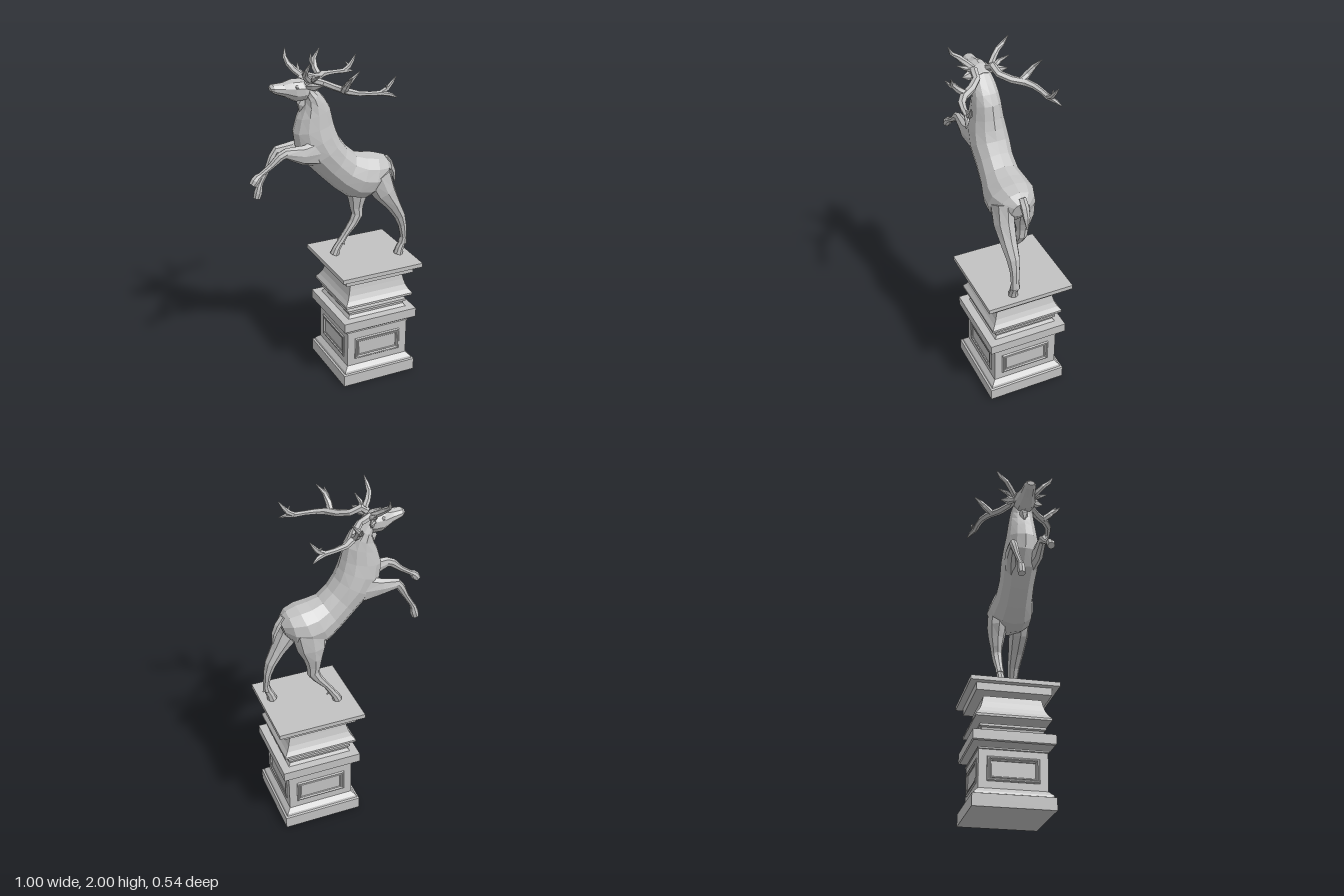
import * as THREE from 'three';

const stone = new THREE.MeshStandardMaterial({ color: 0xc2c2c2 });
stone.name = 'grey stone';
const V = (x, y, z) => new THREE.Vector3(x, y, z);

function add(parent, name, geometry) {
  const flat = geometry.index ? geometry.toNonIndexed() : geometry;
  flat.computeVertexNormals();
  const mesh = new THREE.Mesh(flat, stone);
  mesh.name = name;
  parent.add(mesh);
  return mesh;
}

// Skin over elliptical rings {c, u, w}, closed at both ends
function loft(rings, sides) {
  const pos = [], index = [];
  const put = (v) => pos.push(v.x, v.y, v.z);
  rings.forEach(({ c, u, w }) => {
    for (let k = 0; k < sides; k++) {
      const a = (k / sides) * Math.PI * 2;
      put(c.clone().addScaledVector(u, Math.cos(a)).addScaledVector(w, Math.sin(a)));
    }
  });
  const last = rings.length - 1, start = rings.length * sides;
  put(rings[0].c);
  put(rings[last].c);
  for (let k = 0; k < sides; k++) {
    const n = (k + 1) % sides;
    for (let i = 0; i < last; i++) {
      const a = i * sides + k, b = i * sides + n;
      index.push(a, b, a + sides, b, b + sides, a + sides);
    }
    index.push(start, n, k, start + 1, last * sides + k, last * sides + n);
  }
  const g = new THREE.BufferGeometry();
  g.setAttribute('position', new THREE.Float32BufferAttribute(pos, 3));
  g.setIndex(index);
  return g;
}

// Tapering limb through points [x, y, z, radius, optional sideways radius]
function limb(pts, sides = 7) {
  const at = (i) => V(...pts[Math.min(Math.max(i, 0), pts.length - 1)].slice(0, 3));
  return loft(pts.map((p, i) => {
    const t = at(i + 1).sub(at(i - 1)).normalize();
    const w = V(0, 0, 1).addScaledVector(t, -t.z).normalize();
    const u = w.clone().cross(t);
    return { c: at(i), u: u.multiplyScalar(p[3]), w: w.multiplyScalar(p[4] ?? p[3]) };
  }), sides);
}

// Trunk cross-sections [topX, topY, bottomX, bottomY, halfWidth]
function trunk(sections, sides = 12) {
  return loft(sections.map(([tx, ty, bx, by, half]) => ({
    c: V((tx + bx) / 2, (ty + by) / 2, 0),
    u: V((tx - bx) / 2, (ty - by) / 2, 0),
    w: V(0, 0, half),
  })), sides);
}

function buildPedestal() {
  const g = new THREE.Group();
  g.name = 'pedestal';
  g.position.set(0.238, 0, -0.015);
  // Closed square tiers, profile [half width, height] from bottom to top
  const tiers = {
    base: [[0, 0], [0.235, 0], [0.235, 0.072], [0.224, 0.076], [0.22, 0.088], [0.203, 0.105],
      [0.196, 0.112], [0.196, 0.33], [0.201, 0.333], [0.201, 0.342], [0, 0.342]],
    cornice: [[0, 0.368], [0.23, 0.368], [0.236, 0.374], [0.236, 0.43], [0.19, 0.432], [0.178, 0.45],
      [0.18, 0.462], [0.19, 0.468], [0.19, 0.482], [0, 0.482]],
    concaveMoulding: [[0, 0.517], [0.2175, 0.517], [0.2175, 0.53], [0.2, 0.553], [0.186, 0.58],
      [0.176, 0.615], [0.168, 0.652], [0, 0.652]],
    topSlab: [[0, 0.668], [0.2175, 0.668], [0.2175, 0.712], [0.257, 0.712], [0.257, 0.737], [0, 0.737]],
  };
  for (const [name, profile] of Object.entries(tiers)) {
    const pts = profile.map(([h, y]) => new THREE.Vector2(h * Math.SQRT2, y));
    add(g, name, new THREE.LatheGeometry(pts, 4, Math.PI / 4));
  }
  // Nested bevelled picture-frame borders on each face
  const rect = (shape, w, h) => shape.moveTo(-w, -h).lineTo(w, -h).lineTo(w, h).lineTo(-w, h).closePath();
  const frame = (w, h, t, bevel) => {
    const s = rect(new THREE.Shape(), w, h);
    s.holes.push(rect(new THREE.Path(), w - t, h - t));
    return new THREE.ExtrudeGeometry(s, { depth: 0.001, bevelThickness: bevel, bevelSize: bevel, bevelSegments: 1 })
      .translate(0, 0.222, 0.196);
  };
  for (let i = 0; i < 4; i++) {
    const side = new THREE.Group();
    side.name = 'panel';
    side.rotation.y = i * Math.PI / 2;
    add(side, 'outerFrame', frame(0.143, 0.064, 0.006, 0.006));
    add(side, 'innerFrame', frame(0.128, 0.049, 0.003, 0.003));
    g.add(side);
  }
  return g;
}

function buildAntler(s) {
  const g = new THREE.Group();
  g.name = s > 0 ? 'leftAntler' : 'rightAntler';
  const tines = {
    beam: [[-0.15, 1.85, 0.04, 0.022], [-0.12, 1.872, 0.055, 0.022], [-0.06, 1.85, 0.065, 0.018, 0.022],
      [-0.01, 1.832, 0.115, 0.018, 0.024], [0.035, 1.822, 0.178, 0.019, 0.024],
      [0.08, 1.815, 0.208, 0.014, 0.022], [0.14, 1.811, 0.222, 0.012, 0.018],
      [0.2, 1.808, 0.228, 0.014, 0.018], [0.245, 1.8, 0.25, 0.011], [0.275, 1.786, 0.266, 0.003]],
    browTine: [[-0.135, 1.87, 0.05, 0.019], [-0.165, 1.895, 0.08, 0.018],
      [-0.188, 1.925, 0.112, 0.016], [-0.193, 1.955, 0.15, 0.012], [-0.182, 1.998, 0.172, 0.003]],
    secondTine: [[-0.12, 1.868, 0.06, 0.015], [-0.135, 1.885, 0.1, 0.013], [-0.12, 1.915, 0.15, 0.003]],
    middleTine: [[0.015, 1.825, 0.16, 0.02], [0.008, 1.855, 0.2, 0.019],
      [0.018, 1.9, 0.235, 0.014], [0.06, 1.95, 0.255, 0.003]],
    middleSpur: [[0.008, 1.86, 0.2, 0.015], [0.002, 1.885, 0.238, 0.012], [0.01, 1.92, 0.268, 0.003]],
    endTine: [[0.19, 1.805, 0.225, 0.014], [0.235, 1.83, 0.23, 0.014],
      [0.26, 1.862, 0.235, 0.01], [0.28, 1.893, 0.24, 0.003]],
    endSpur: [[0.235, 1.83, 0.232, 0.01], [0.217, 1.856, 0.245, 0.003]],
  };
  for (const [name, pts] of Object.entries(tines)) {
    add(g, name, limb(pts.map(([x, y, z, r, rw]) => [x, y, z * s, r, rw]), 6));
  }
  return g;
}

function buildStag() {
  const g = new THREE.Group();
  g.name = 'stag';
  add(g, 'body', trunk([
    [-0.12, 1.848, -0.152, 1.762, 0.058], [-0.07, 1.797, -0.153, 1.74, 0.07],
    [-0.03, 1.755, -0.165, 1.7, 0.076], [0.003, 1.7, -0.19, 1.65, 0.083],
    [0.022, 1.622, -0.213, 1.57, 0.094], [0.038, 1.57, -0.2, 1.48, 0.106],
    [0.06, 1.515, -0.145, 1.39, 0.112], [0.1, 1.458, -0.05, 1.29, 0.106],
    [0.155, 1.41, 0.035, 1.205, 0.112], [0.22, 1.393, 0.115, 1.14, 0.132],
    [0.285, 1.383, 0.2, 1.125, 0.138], [0.345, 1.362, 0.3, 1.15, 0.11],
    [0.385, 1.315, 0.355, 1.215, 0.05]]));
  add(g, 'head', trunk([
    [-0.343, 1.847, -0.338, 1.822, 0.022], [-0.328, 1.86, -0.316, 1.804, 0.036],
    [-0.27, 1.862, -0.262, 1.782, 0.044], [-0.22, 1.876, -0.2, 1.748, 0.061],
    [-0.17, 1.874, -0.152, 1.75, 0.064], [-0.115, 1.845, -0.12, 1.765, 0.05]], 10));
  add(g, 'throatTuft', limb([[-0.14, 1.76, 0, 0.03], [-0.165, 1.725, 0, 0.025], [-0.172, 1.69, 0, 0.004]], 5));
  for (const s of [1, -1]) {
    g.add(buildAntler(s));
    add(g, 'ear', limb([[-0.145, 1.835, 0.045 * s, 0.014], [-0.125, 1.84, 0.085 * s, 0.026, 0.014],
      [-0.095, 1.855, 0.13 * s, 0.003]], 6));
    add(g, 'eye', new THREE.SphereGeometry(0.011, 8, 6).translate(-0.205, 1.84, 0.05 * s));
  }
  // Legs all differ in pose, each ending in a hoof
  const legs = {
    leftFrontLeg: [[-0.08, 1.465, 0.06, 0.085, 0.04], [-0.19, 1.468, 0.08, 0.055, 0.032],
      [-0.29, 1.492, 0.078, 0.03, 0.024], [-0.322, 1.478, 0.078, 0.026, 0.022],
      [-0.375, 1.432, 0.075, 0.017], [-0.435, 1.392, 0.075, 0.015], [-0.456, 1.38, 0.075, 0.021]],
    rightFrontLeg: [[-0.08, 1.44, -0.06, 0.085, 0.04], [-0.19, 1.445, -0.083, 0.05, 0.032],
      [-0.28, 1.447, -0.09, 0.03, 0.024], [-0.302, 1.415, -0.088, 0.025, 0.022],
      [-0.34, 1.345, -0.082, 0.016], [-0.38, 1.28, -0.074, 0.015], [-0.392, 1.255, -0.072, 0.02]],
    leftHindLeg: [[0.27, 1.27, 0.07, 0.09, 0.06], [0.315, 1.165, 0.075, 0.07, 0.06],
      [0.378, 1.07, 0.073, 0.044, 0.048], [0.425, 0.99, 0.068, 0.034, 0.038],
      [0.445, 0.925, 0.068, 0.025, 0.03], [0.456, 0.845, 0.07, 0.018, 0.025], [0.452, 0.808, 0.068, 0.025, 0.03]],
    rightHindLeg: [[0.235, 1.25, -0.072, 0.1, 0.06], [0.225, 1.145, -0.08, 0.086, 0.058],
      [0.22, 1.075, -0.082, 0.056, 0.048], [0.218, 1.02, -0.082, 0.042, 0.036], [0.222, 0.975, -0.078, 0.036, 0.033],
      [0.196, 0.925, -0.078, 0.028, 0.03], [0.14, 0.852, -0.078, 0.018, 0.024], [0.113, 0.812, -0.078, 0.022, 0.026]],
  };
  const hooves = {
    leftFrontHoof: [[-0.45, 1.385, 0.075, 0.02], [-0.468, 1.365, 0.077, 0.025], [-0.484, 1.343, 0.077, 0.021]],
    rightFrontHoof: [[-0.39, 1.258, -0.072, 0.02], [-0.398, 1.225, -0.072, 0.025], [-0.408, 1.193, -0.072, 0.021]],
    leftHindHoof: [[0.453, 0.815, 0.068, 0.02], [0.435, 0.775, 0.066, 0.025], [0.425, 0.738, 0.066, 0.029]],
    rightHindHoof: [[0.115, 0.812, -0.08, 0.02], [0.09, 0.775, -0.08, 0.024], [0.075, 0.738, -0.08, 0.028]],
  };
  for (const [name, pts] of Object.entries({ ...legs, ...hooves })) add(g, name, limb(pts, 8));
  // Spurs: hock points, dewclaws
  const spurs = {
    leftDewclaw: [[0.455, 0.825, 0.068, 0.014], [0.48, 0.8, 0.066, 0.003]],
    rightDewclaw: [[0.12, 0.815, -0.08, 0.014], [0.142, 0.79, -0.08, 0.003]],
    rightHock: [[0.232, 1.03, -0.082, 0.022], [0.242, 0.945, -0.08, 0.006]],
  };
  for (const [name, pts] of Object.entries(spurs)) add(g, name, limb(pts, 5));
  add(g, 'tail', limb([[0.36, 1.335, -0.008, 0.022], [0.395, 1.29, -0.01, 0.02, 0.024],
    [0.418, 1.24, -0.01, 0.016, 0.02], [0.43, 1.172, -0.01, 0.004]], 6));
  return g;
}

export function createModel() {
  const model = new THREE.Group();
  model.name = 'stagStatue';
  model.add(buildPedestal(), buildStag());
  return model;
}
